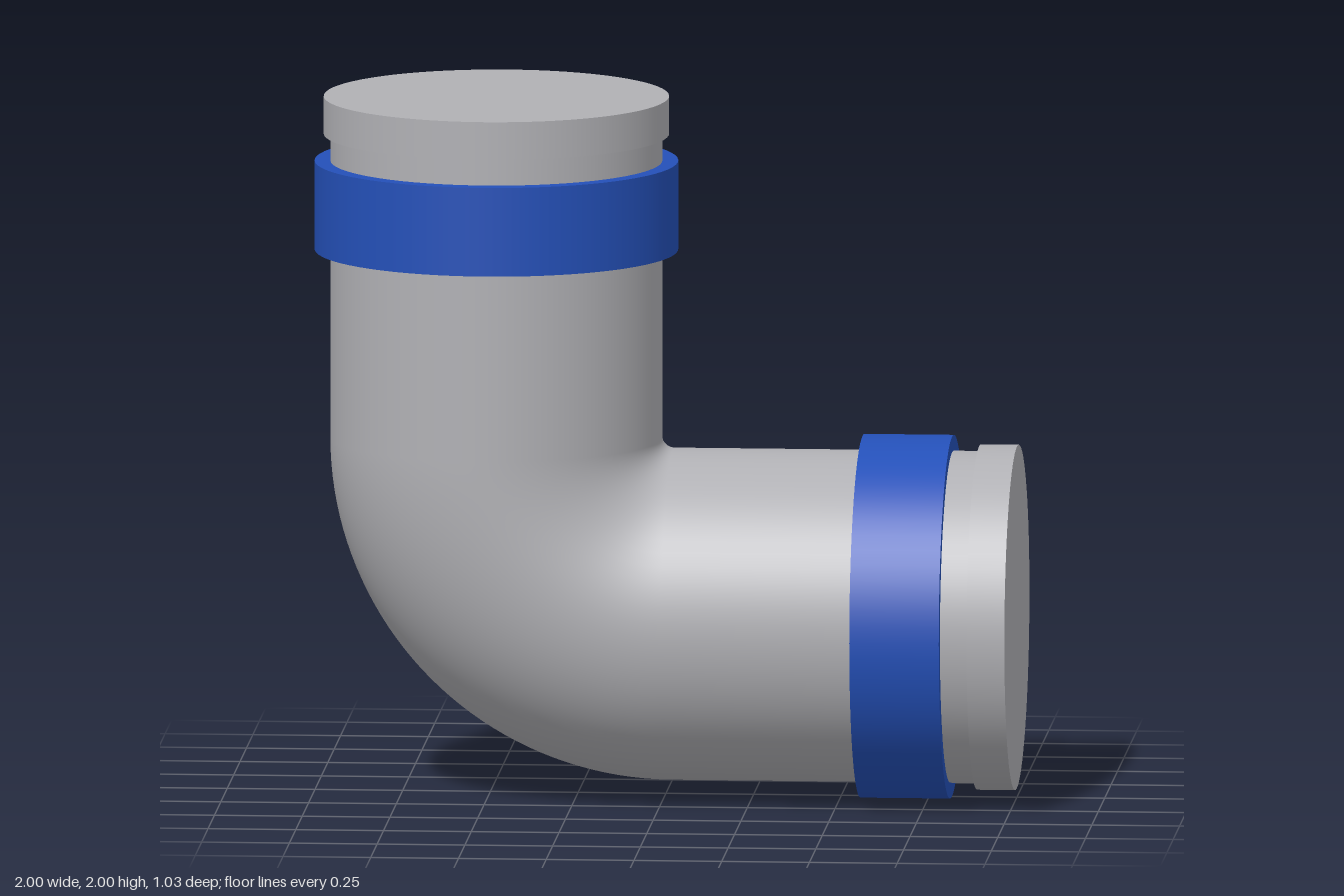
import * as THREE from 'three';

const AXIS = 0.517;      // height of the horizontal axis, also the collar radius
const PIPE_R = 0.472;    // pipe radius
const BEND_R = 0.503;    // centre-line radius of the elbow
const SEG = 72;

export function createModel() {
  const grey = new THREE.MeshStandardMaterial({ color: 0xb0b0b4 });
  grey.name = 'pipe grey';
  const blue = new THREE.MeshStandardMaterial({ color: 0x2450b8 });
  blue.name = 'collar blue';

  const model = new THREE.Group();
  model.name = 'pipeElbow';

  // Quarter-turn bend joining the two straight arms
  const bend = new THREE.Mesh(new THREE.TorusGeometry(BEND_R, PIPE_R, SEG, 40, Math.PI / 2), grey);
  bend.name = 'bend';
  bend.rotation.z = Math.PI;
  bend.position.set(AXIS - 1 + BEND_R, AXIS + BEND_R, 0);
  model.add(bend);

  // Straight arm along local +y: pipe, coloured collar and end flange
  function arm(name) {
    const group = new THREE.Group();
    group.name = name;
    const ring = (part, radius, from, to, material, open = false) => {
      const mesh = new THREE.Mesh(new THREE.CylinderGeometry(radius, radius, to - from, SEG, 1, open), material);
      mesh.name = part;
      mesh.position.y = (from + to) / 2;
      group.add(mesh);
    };
    ring('pipe', PIPE_R, 0, 0.9, grey, true);
    ring('collar', AXIS, 0.54, 0.795, blue);
    ring('flange', 0.491, 0.872, 0.98, grey);
    return group;
  }

  const upper = arm('upperArm');
  upper.position.set(AXIS - 1, AXIS + BEND_R, 0);
  const side = arm('sideArm');
  side.rotation.z = -Math.PI / 2;
  side.position.set(AXIS - 1 + BEND_R, AXIS, 0);
  model.add(upper, side);

  return model;
}
